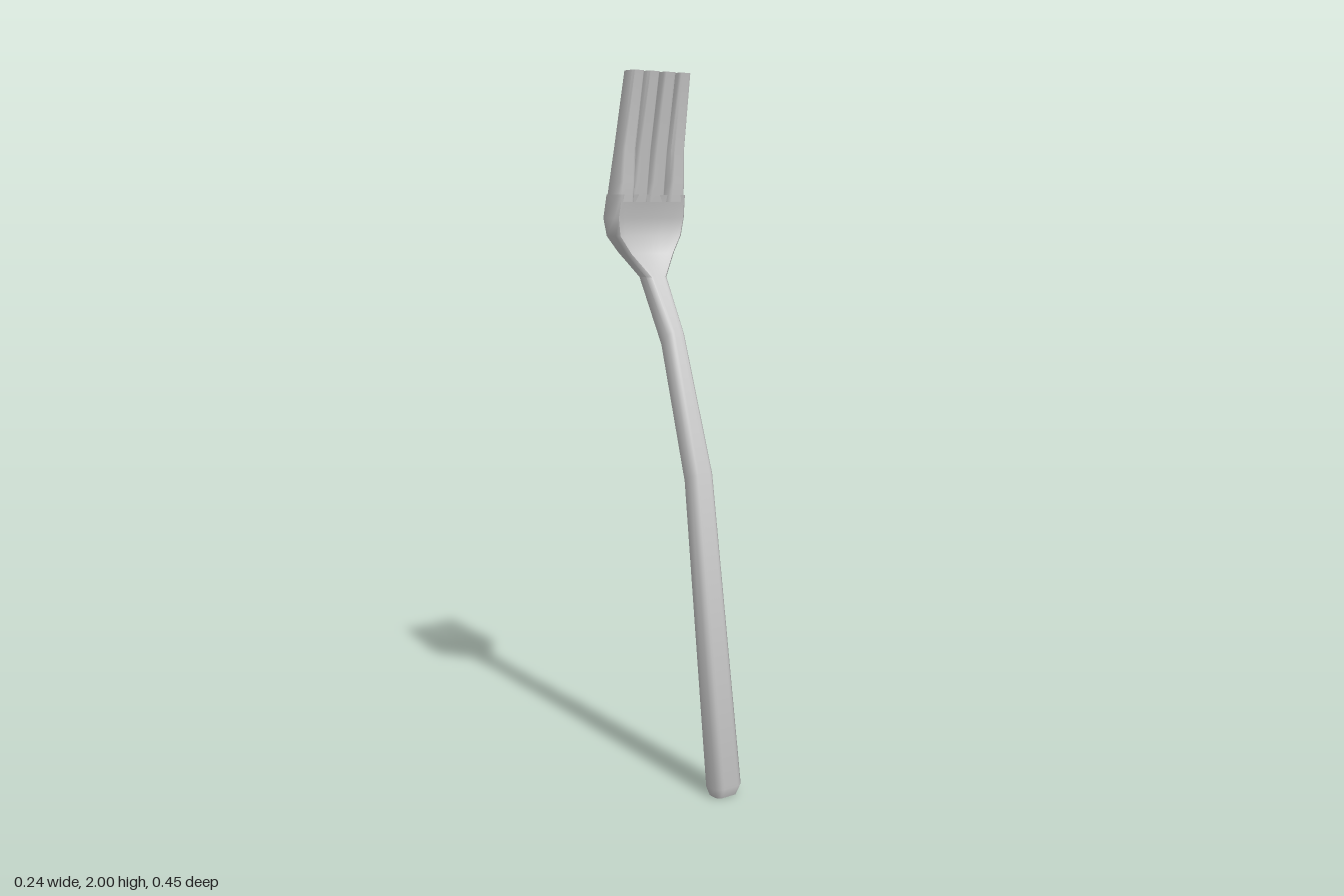
import * as THREE from 'three';
import { toCreasedNormals } from 'three/addons/utils/BufferGeometryUtils.js';

const material = new THREE.MeshStandardMaterial({ color: 0xcccccc });
const COLS = 9;
const lerp = THREE.MathUtils.lerp;

// One chamfered cross-section: flat back, front hollowed by "dish"
function section({ x = 0, w, front, back, dish = 0, chamfer }) {
  const depth = Math.hypot(front[0] - back[0], front[1] - back[1]);
  const c = chamfer * Math.min(2 * w, depth);
  const at = (px, t, dz = 0) => [x + px, lerp(front[0], back[0], t), lerp(front[1], back[1], t) + dz];
  const ring = [at(-w, c / depth)];
  for (let i = 0; i < COLS; i++) {
    const u = (2 * i) / (COLS - 1) - 1;
    ring.push(at(u * (w - c), 0, -dish * (1 - u * u)));
  }
  ring.push(at(w, c / depth), at(w, 1 - c / depth));
  for (let i = 0; i < COLS; i++) ring.push(at((1 - (2 * i) / (COLS - 1)) * (w - c), 1));
  ring.push(at(-w, 1 - c / depth));
  return ring;
}

// Skin a row of cross-sections and close both ends
function loft(name, stations) {
  const rings = stations.map(section);
  const n = rings[0].length;
  const pos = [];
  const tri = (...pts) => pts.forEach((p) => pos.push(...p));
  for (let i = 0; i < rings.length - 1; i++) {
    for (let j = 0; j < n; j++) {
      const k = (j + 1) % n;
      const [a, b, c, d] = [rings[i][j], rings[i][k], rings[i + 1][k], rings[i + 1][j]];
      tri(a, b, c);
      tri(a, c, d);
    }
  }
  for (const [ring, up] of [[rings[0], false], [rings[rings.length - 1], true]]) {
    const mid = [0, 1, 2].map((q) => ring.reduce((s, p) => s + p[q], 0) / n);
    ring.forEach((p, j) => {
      const next = ring[(j + 1) % n];
      if (up) tri(mid, p, next);
      else tri(mid, next, p);
    });
  }
  const geometry = new THREE.BufferGeometry();
  geometry.setAttribute('position', new THREE.Float32BufferAttribute(pos, 3));
  const mesh = new THREE.Mesh(toCreasedNormals(geometry, 0.95), material);
  mesh.name = name;
  return mesh;
}

export function createModel() {
  const fork = new THREE.Group();
  fork.name = 'fork';

  // Bent handle running into the dished head; front and back are [y, z]
  fork.add(loft('handleAndBowl', [
    { w: 0.036, front: [0, 0.213], back: [0, 0.163], chamfer: 0.22 },
    { w: 0.045, front: [0.03, 0.225], back: [0.025, 0.155], chamfer: 0.2 },
    { w: 0.036, front: [0.903, 0.098], back: [0.872, 0.045], chamfer: 0.2 },
    { w: 0.029, front: [1.285, -0.026], back: [1.242, -0.072], chamfer: 0.2 },
    { w: 0.035, front: [1.435, -0.116], back: [1.435, -0.172], chamfer: 0.2 },
    { w: 0.083, front: [1.5, -0.146], back: [1.507, -0.21], dish: 0.02, chamfer: 0.18 },
    { w: 0.113, front: [1.55, -0.154], back: [1.55, -0.219], dish: 0.033, chamfer: 0.15 },
    { w: 0.12, front: [1.6, -0.15], back: [1.6, -0.224], dish: 0.033, chamfer: 0.12 },
    { w: 0.116, front: [1.665, -0.139], back: [1.665, -0.213], dish: 0.024, chamfer: 0.12 },
  ]));

  // Four tines: [y, half width, front z, back z, extra hollow on the inner pair]
  const tine = [
    [1.645, 0.028, -0.146, -0.213, 0.018],
    [1.7, 0.0245, -0.138, -0.205, 0.015],
    [1.79, 0.0225, -0.133, -0.186, 0.005],
    [2, 0.02, -0.094, -0.142, 0],
  ];
  for (const side of [-1, 1]) {
    for (const [label, base, tip, inner] of [['inner', 0.029, 0.0275, 1], ['outer', 0.087, 0.079, 0]]) {
      fork.add(loft(`${label}Tine${side > 0 ? 'Left' : 'Right'}`, tine.map(([y, w, zf, zb, hollow]) => ({
        x: side * lerp(base, tip, (y - 1.645) / 0.355),
        w,
        front: [y, zf - inner * hollow],
        back: [y, zb],
        chamfer: 0.14,
      }))));
    }
  }
  return fork;
}
